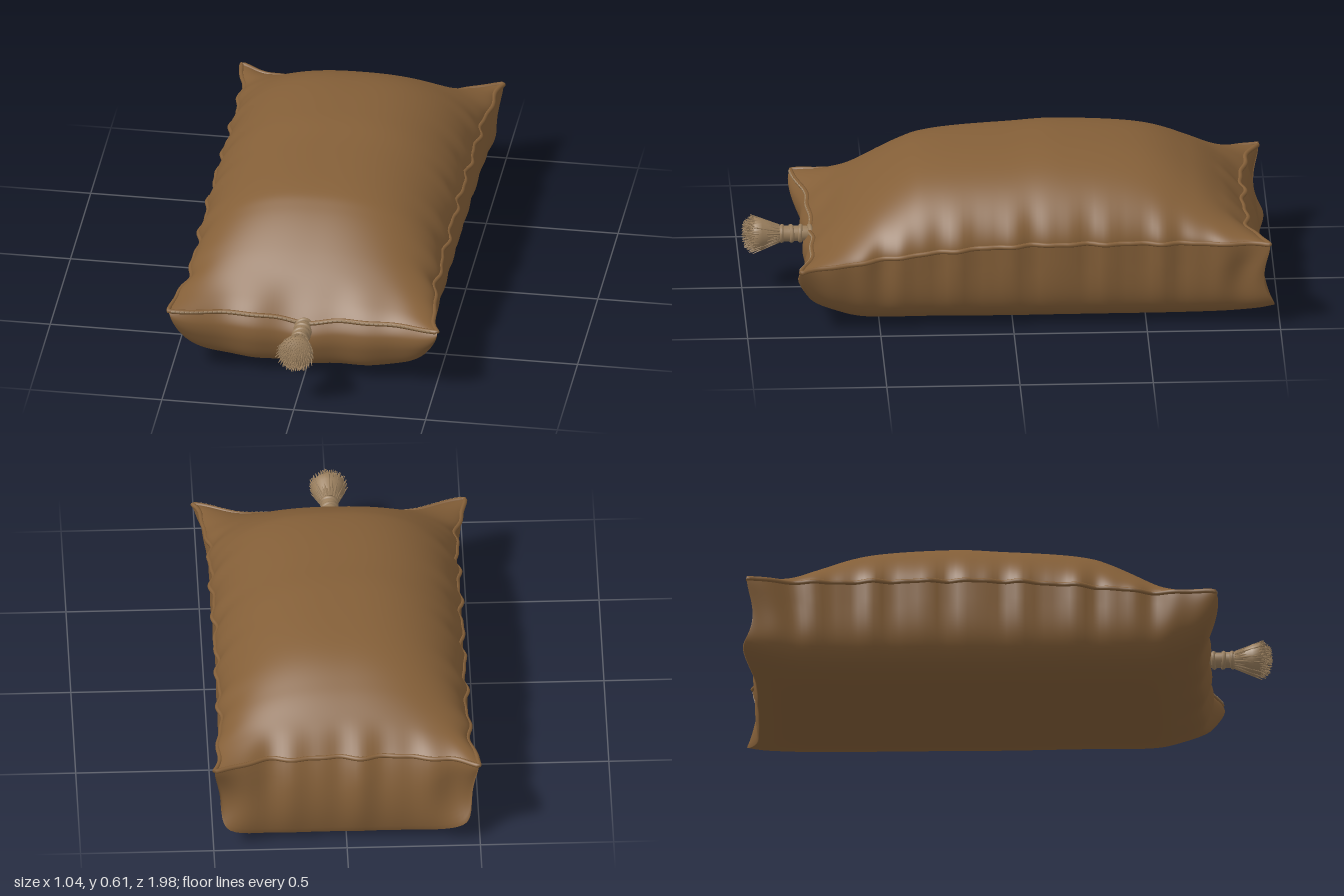
import * as THREE from 'three';
import { mergeGeometries, mergeVertices } from 'three/addons/utils/BufferGeometryUtils.js';

const HALF = 0.46, FRONT = 0.74, BACK = -0.88;

// Height of the seam along the sack's length
function seamY(z) {
  const k = z + 0.2;
  return 0.342 - (k > 0 ? 0.092 * (k / 0.94) ** 2 : 0.008 * (k / 0.68) ** 2);
}

// Corners drawn out into ears: centre, pull, reach (mirrored in x)
const ears = [
  { c: [0.46, 0.25, 0.74], d: [0.05, 0.016, 0.055], r: 0.11 },
  { c: [0.46, 0.335, -0.88], d: [0.033, 0.008, -0.075], r: 0.1 },
  { c: [0.435, 0.03, -0.93], d: [0.04, 0.02, -0.07], r: 0.1 },
];

// Puckers the cloth along the seams and pulls out the ears
function deform(x, y, z) {
  const p = new THREE.Vector3(x, y, z);
  const side = Math.sign(x);
  const low = THREE.MathUtils.clamp(y / 0.25, 0, 1);
  const edge = Math.min(1, Math.abs(x) / HALF) ** 8 * low;
  p.x += side * edge * (0.007 * Math.sin(z * 33 + side) + 0.004 * Math.sin(z * 57 + 2 * side));
  const rear = THREE.MathUtils.smoothstep(-z, 0.76, 0.9) * low;
  p.z += rear * (0.008 * Math.sin(x * 27) + 0.005 * Math.sin(x * 47 + 1));
  const nose = THREE.MathUtils.smoothstep(z, 0.6, 0.74);
  p.y -= nose * low * 0.02 * Math.exp(-((x / 0.1) ** 2));
  p.z += nose * 0.005 * Math.sin(x * 30 + 1);
  for (const { c, d, r } of ears) {
    const dist = Math.hypot(Math.abs(x) - c[0], y - c[1], z - c[2]);
    const w = Math.exp(-((dist / r) ** 1.5));
    p.x += side * d[0] * w;
    p.y += d[1] * w;
    p.z += d[2] * w;
  }
  p.y = Math.max(0, p.y);
  return p;
}

// Surface from rows of points; fn(i, j) takes 0..1 in both directions
function sheet(rows, cols, fn, flip) {
  const pos = [], index = [];
  for (let i = 0; i <= rows; i++)
    for (let j = 0; j <= cols; j++) pos.push(...deform(...fn(i / rows, j / cols)).toArray());
  for (let i = 0; i < rows; i++)
    for (let j = 0; j < cols; j++) {
      const a = i * (cols + 1) + j, b = a + 1, c = a + cols + 1, d = c + 1;
      index.push(...(flip ? [a, c, b, b, c, d] : [a, b, c, b, d, c]));
    }
  const g = new THREE.BufferGeometry();
  g.setAttribute('position', new THREE.Float32BufferAttribute(pos, 3));
  g.setIndex(index);
  return g;
}

const spline = (pts) => new THREE.SplineCurve(pts.map(([a, b]) => new THREE.Vector2(a, b)));

// Lengthwise profiles: z and rise above / depth below the seam
const rise = spline([[FRONT, 0], [0.69, 0.045], [0.55, 0.147], [0.4, 0.225], [0.28, 0.252], [0, 0.256],
  [-0.2, 0.263], [-0.5, 0.24], [-0.68, 0.172], [-0.8, 0.085], [BACK, 0]]);
const depth = spline([[FRONT, 0], [0.765, 0.05], [0.765, 0.11], [0.735, 0.185], [0.66, 0.24], [0.55, 0.287],
  [0.35, 0.316], [0, 0.346], [-0.4, 0.346], [-0.7, 0.338], [-0.85, 0.326], [-0.93, 0.308]]);

function topPoint(v, w) {
  const u = Math.sin((w - 0.5) * Math.PI);
  const p = rise.getPoint(v);
  const z = THREE.MathUtils.clamp(p.x, BACK, FRONT);
  const round = Math.max(0, 1 - Math.abs(u) ** 2.5) ** 0.66;
  return [u * HALF, seamY(z) + Math.max(0, p.y) * round, z];
}

function lowerPoint(v, w) {
  const t = w * 2 - 1, s = Math.sin(t * Math.PI / 2), c = Math.cos(t * Math.PI / 2);
  const p = depth.getPoint(v);
  const n = 3.2 + 2.3 * v;
  const r = (Math.abs(s) ** n + Math.abs(c) ** n) ** (-1 / n);
  const zs = THREE.MathUtils.clamp(p.x, BACK, FRONT);
  return [HALF * r * s, seamY(zs) - Math.max(0, p.y) * r * c, zs + (p.x - zs) * (1 - t ** 4)];
}

// End panel between the top seam and the rear edge of the lower cloth
function backPoint(v, w) {
  const [x, y, z] = lowerPoint(1, w);
  const bulge = 0.03 * 4 * v * (1 - v) * Math.max(0, 1 - (x / HALF) ** 4);
  return [x, THREE.MathUtils.lerp(y, seamY(BACK), v), THREE.MathUtils.lerp(z, BACK, v) - bulge];
}

function seamLine(x0, z0, x1, z1, n = 70) {
  return Array.from({ length: n }, (_, i) => {
    const x = THREE.MathUtils.lerp(x0, x1, i / n), z = THREE.MathUtils.lerp(z0, z1, i / n);
    return deform(x, seamY(z), z);
  });
}

export function createModel() {
  const cloth = new THREE.MeshStandardMaterial({ color: 0x845f38, side: THREE.DoubleSide });
  cloth.name = 'brown cloth';
  const twine = new THREE.MeshStandardMaterial({ color: 0x9a7f5e });
  twine.name = 'tan twine';

  const model = new THREE.Group();
  model.name = 'sack';
  const add = (name, geometry, material, parent = model) => {
    const mesh = new THREE.Mesh(geometry, material);
    mesh.name = name;
    parent.add(mesh);
    return mesh;
  };

  // Cloth body
  const top = sheet(110, 70, topPoint, false);
  top.computeVertexNormals();
  add('topCloth', top, cloth);
  const lower = mergeVertices(mergeGeometries([
    sheet(120, 80, lowerPoint, true),
    sheet(14, 80, backPoint, true),
  ]), 1e-4);
  lower.computeVertexNormals();
  add('lowerClothAndBackPanel', lower, cloth);

  // Rolled seam running all the way round
  const loop = [
    ...seamLine(-HALF, FRONT, HALF, FRONT), ...seamLine(HALF, FRONT, HALF, BACK),
    ...seamLine(HALF, BACK, -HALF, BACK), ...seamLine(-HALF, BACK, -HALF, FRONT),
  ];
  add('seamPiping', new THREE.TubeGeometry(new THREE.CatmullRomCurve3(loop, true), 500, 0.009, 8, true), cloth);

  // Stitches closing the mouth
  const mouth = new THREE.CatmullRomCurve3(seamLine(-HALF, FRONT, HALF, FRONT));
  const stitches = [];
  for (let i = 1; i < 58; i++) {
    const g = new THREE.CapsuleGeometry(0.005, 0.009, 3, 6);
    const dir = mouth.getTangentAt(i / 58);
    g.applyQuaternion(new THREE.Quaternion().setFromUnitVectors(new THREE.Vector3(0, 1, 0), dir));
    const p = mouth.getPointAt(i / 58);
    g.translate(p.x, p.y + 0.002, p.z + 0.006);
    stitches.push(g);
  }
  add('mouthStitches', mergeGeometries(stitches), twine);

  // Tied rope end; built along +y, then turned to face forward
  const tie = new THREE.Group();
  tie.name = 'ropeTie';
  tie.position.set(0, 0.217, 0.72);
  tie.rotation.x = Math.PI / 2;
  model.add(tie);
  const bell = [[0.022, 0], [0.028, 0.04], [0.03, 0.09], [0.03, 0.14], [0.043, 0.17], [0.06, 0.205],
    [0.066, 0.232], [0.05, 0.25], [0, 0.258]];
  add('ropeCore', new THREE.LatheGeometry(bell.map(([r, y]) => new THREE.Vector2(r, y)), 28), twine, tie);
  [0.025, 0.06, 0.095, 0.13].forEach((y, i) => {
    const ring = add('ropeWrap', new THREE.TorusGeometry(0.027, 0.009, 8, 24), twine, tie);
    ring.position.y = y;
    ring.rotation.set(Math.PI / 2, (i % 2 ? 1 : -1) * 0.12, 0);
  });

  // Frayed tassel strands
  let seed = 7;
  const rand = () => (seed = (seed * 16807) % 2147483647) / 2147483647;
  const strands = [];
  for (let i = 0; i < 230; i++) {
    const angle = i * 2.39996, spread = Math.sqrt((i + 0.5) / 230);
    const start = new THREE.Vector3(Math.cos(angle) * 0.03 * spread, 0.14, Math.sin(angle) * 0.03 * spread);
    const reach = spread * (0.071 + 0.006 * rand());
    const end = new THREE.Vector3(Math.cos(angle) * reach, 0.277 - 0.035 * spread ** 3 + (rand() - 0.5) * 0.012,
      Math.sin(angle) * reach);
    const along = end.clone().sub(start);
    const g = new THREE.CylinderGeometry(0.0015, 0.0055, along.length(), 5);
    g.applyQuaternion(new THREE.Quaternion().setFromUnitVectors(new THREE.Vector3(0, 1, 0), along.normalize()));
    const mid = start.add(end).multiplyScalar(0.5);
    g.translate(mid.x, mid.y, mid.z);
    strands.push(g);
  }
  add('tasselStrands', mergeGeometries(strands), twine, tie);

  return model;
}
